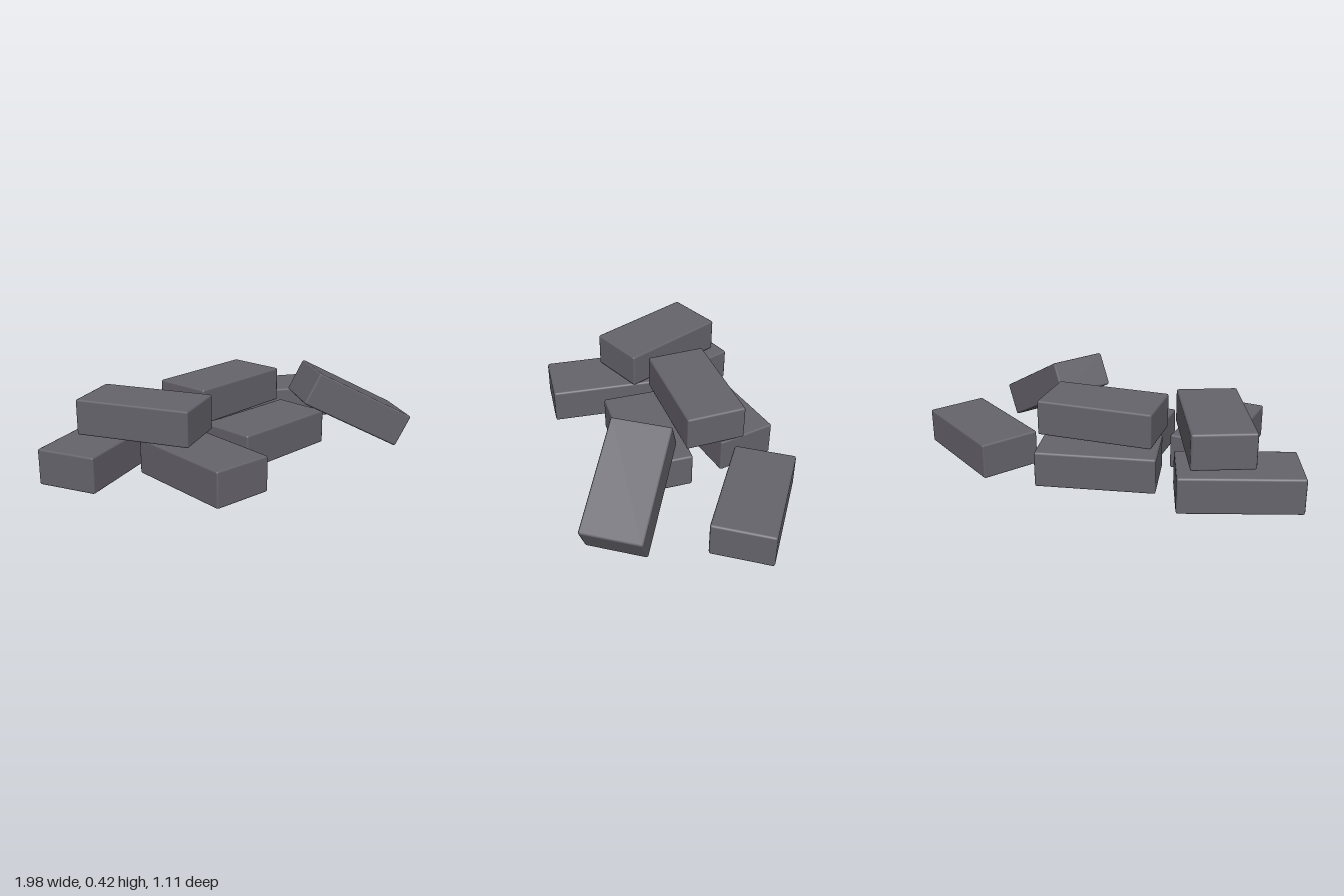
import * as THREE from 'three';
import { RoundedBoxGeometry } from 'three/addons/geometries/RoundedBoxGeometry.js';

const LENGTH = 0.575, HEIGHT = 0.176, WIDTH = 0.3, BEVEL = 0.01;
const LOW = 0.101, HIGH = 0.287; // centre heights of the two layers

// name, centre x, y, z, yaw, tilt
const BRICKS = [
  // bottom layer
  ['backLeftBrick', -0.676, LOW, -0.322, 0.351, 0],
  ['frontLeftBrick', -0.452, LOW, 0.158, 1.497, 0],
  ['backMiddleBrick', 0.001, LOW, -0.335, 0.225, 0],
  ['frontMiddleBrick', 0.083, LOW, 0.064, 0, 0],
  ['looseBrick', 0.671, LOW, -0.283, -0.56, 0],
  // top layer
  ['topLeftBrick', -0.517, HIGH, -0.168, -1.149, 0],
  ['topMiddleBrick', 0.032, HIGH, -0.206, 0.046, 0],
  // brick leaning on the pile
  ['leaningBrick', 0.511, 0.212, 0.272, -0.558, -0.489],
];

export function createModel() {
  const group = new THREE.Group();
  group.name = 'brickPile';
  const material = new THREE.MeshStandardMaterial({ color: 0x66646c });
  const geometry = new RoundedBoxGeometry(LENGTH, HEIGHT, WIDTH, 1, BEVEL);

  for (const [name, x, y, z, yaw, tilt] of BRICKS) {
    const brick = new THREE.Mesh(geometry, material);
    brick.name = name;
    brick.position.set(x, y, z);
    brick.rotation.set(0, yaw, tilt, 'YXZ');
    group.add(brick);
  }
  return group;
}
